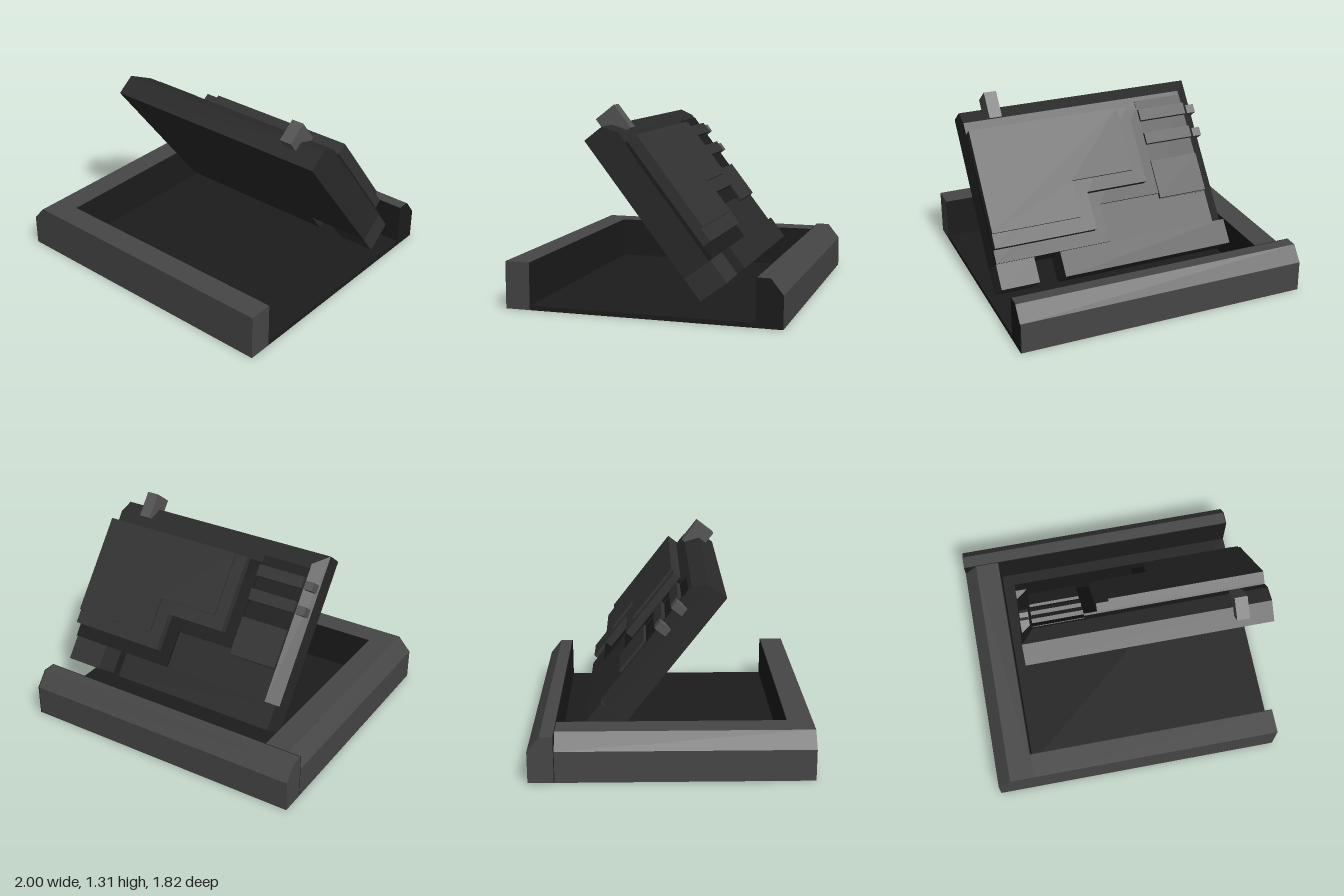
import * as THREE from 'three';
import { ConvexGeometry } from 'three/addons/geometries/ConvexGeometry.js';

const mat = (color) => new THREE.MeshStandardMaterial({ color, flatShading: true });

export function createModel() {
  const model = new THREE.Group();
  const frameMat = mat(0x464646), darkMat = mat(0x1c1c1c), doorMat = mat(0x2a2a2a);
  const plateMat = mat(0x333333), metalMat = mat(0x555555);

  const add = (parent, name, geometry, material) => {
    const mesh = new THREE.Mesh(geometry, material);
    mesh.name = name;
    parent.add(mesh);
    return mesh;
  };
  // box given by its limits on each axis
  const box = (parent, name, [x0, x1], [y0, y1], [z0, z1], material) => {
    const g = new THREE.BoxGeometry(x1 - x0, y1 - y0, z1 - z0);
    g.translate((x0 + x1) / 2, (y0 + y1) / 2, (z0 + z1) / 2);
    return add(parent, name, g, material);
  };
  const prism = (points, from, to) => {
    const shape = new THREE.Shape(points.map(([x, y]) => new THREE.Vector2(x, y)));
    return new THREE.ExtrudeGeometry(shape, { depth: to - from, bevelEnabled: false }).translate(0, 0, from);
  };

  // Open-ended frame with chamfered outer edges
  const frame = new THREE.Group();
  frame.name = 'frame';
  model.add(frame);
  const H = 0.31, low = 0.21;
  add(frame, 'sideRail', prism([[-1, 0], [-0.745, 0], [-0.745, H], [-0.91, H], [-1, low]], -0.74, 0.91), frameMat);
  box(frame, 'frontRail', [-0.745, 1], [0, H], [0.745, 0.91], frameMat);
  const backProfile = [[0.745, 0], [0.91, 0], [0.91, low], [0.83, H], [0.745, H]];
  add(frame, 'backRail', prism(backProfile, -1, 0.995).rotateY(Math.PI / 2), frameMat);
  add(frame, 'backRailEnd', prism(backProfile, 0.995, 1).rotateY(Math.PI / 2), darkMat);

  // Dark floor and inner wall linings
  box(frame, 'floor', [-0.74, 1], [0, 0.03], [-0.74, 0.74], darkMat);
  box(frame, 'sideLining', [-0.745, -0.74], [0, H], [-0.74, 0.74], darkMat);
  box(frame, 'frontLining', [-0.745, 1], [0, H], [0.74, 0.745], darkMat);
  box(frame, 'backLining', [-1, 1], [0, H], [-0.745, -0.74], darkMat);

  // Raised door: local y runs up the door, local -z is its outer side
  const door = new THREE.Group();
  door.name = 'door';
  door.position.set(0, 0.27, -0.29);
  door.rotation.x = 0.66;
  model.add(door);

  // Slab with mitred chamfers on its outer top and side edges
  const T = 0.21, inner = 0.145, top = 1.05;
  const corners = [];
  for (const [y, z] of [[0, 0], [0, T], [0.96, T], [top, inner], [top, 0]]) corners.push([1, y, z]);
  corners.push([-0.565, 0, T], [-0.565, 0.96, T]);
  for (const y of [0, top]) for (const z of [0, inner]) corners.push([-0.65, y, z]);
  add(door, 'doorSlab', new ConvexGeometry(corners.map(([x, y, z]) => new THREE.Vector3(x, y, -z))), doorMat);
  box(door, 'doorFoot', [-0.65, 0.56], [-0.17, 0], [-T, 0], doorMat);
  box(door, 'hinge', [0.74, 1], [-0.17, 0], [-T, 0], plateMat);

  // Stacked stepped armour plates
  [
    ['basePlate', 0.21, -0.22, 0, 0.26, T - 0.01, 0.225, darkMat],
    ['middlePlate', 0.30, -0.13, 0.09, 0.346, 0.22, 0.28, plateMat],
    ['topPlate', 0.39, -0.045, 0.187, 0.437, 0.27, 0.297, plateMat],
  ].forEach(([name, xStep, xEdge, y0, y1, n0, n1, m]) => {
    const yTop = 0.88;
    const outline = [[1, y0], [1, yTop], [xEdge, yTop], [xEdge, y1], [xStep, y1], [xStep, y0]];
    add(door, name, prism(outline, -n1, -n0), m);
  });

  // Mechanism panel with pad, bars and pegs
  box(door, 'mechanismBed', [-0.565, -0.22], [0.22, 0.93], [-0.215, -0.2], darkMat);
  box(door, 'mechanismPad', [-0.563, -0.22], [0.225, 0.49], [-0.235, -0.2], plateMat);
  for (const y of [0.61, 0.78]) {
    box(door, 'mechanismBar', [-0.563, -0.22], [y, y + 0.08], [-0.245, -0.2], plateMat);
    box(door, 'mechanismPeg', [-0.64, -0.58], [y, y + 0.06], [-0.24, -0.14], metalMat);
  }

  // Latch on the free edge
  box(door, 'latch', [0.74, 0.825], [0.96, 1.14], [-0.234, -0.08], metalMat);

  return model;
}
